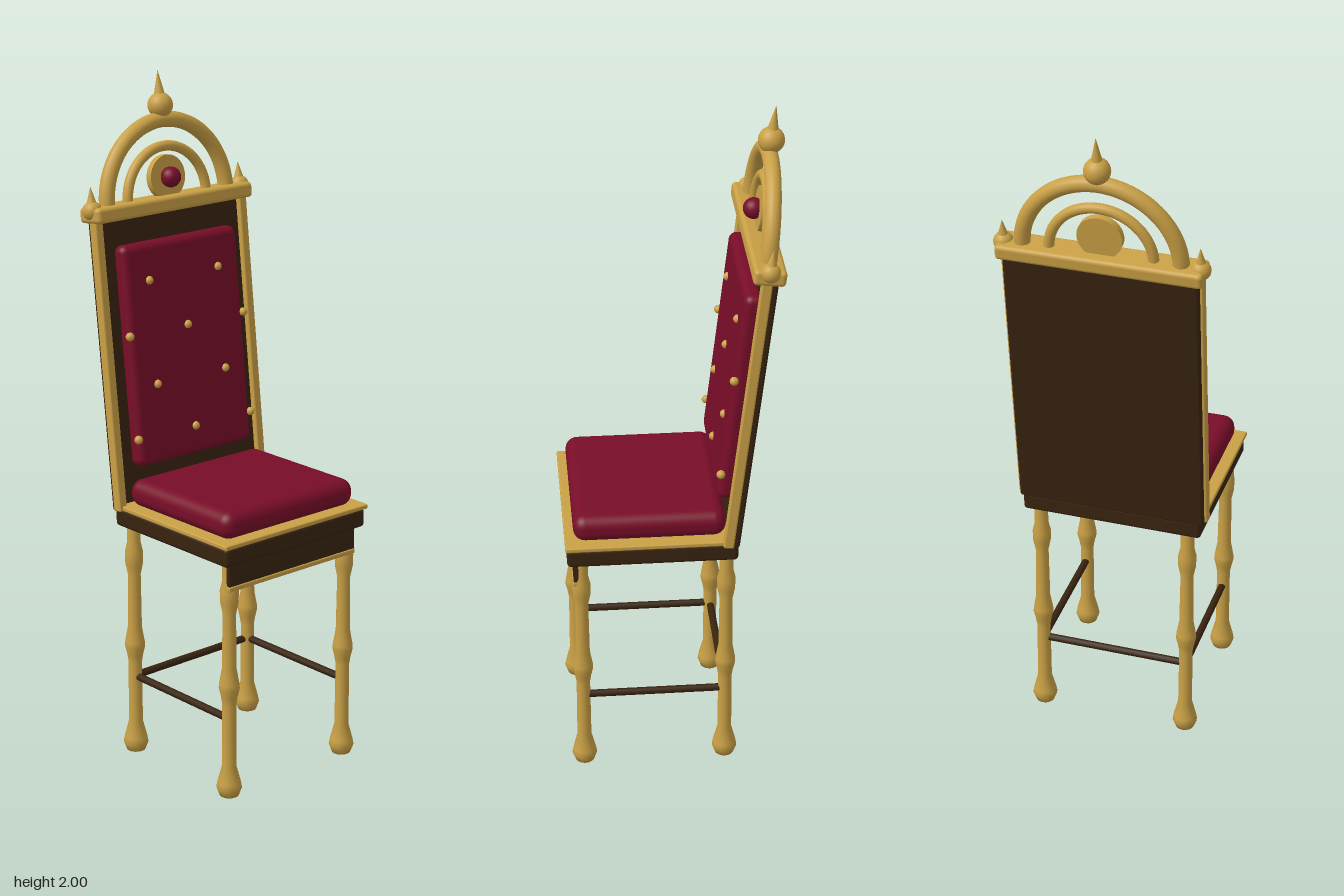
import * as THREE from 'three';
import { RoundedBoxGeometry } from 'three/addons/geometries/RoundedBoxGeometry.js';

export function createModel() {
  const mat = (name, color) => {
    const m = new THREE.MeshStandardMaterial({ color });
    m.name = name;
    return m;
  };
  const gold = mat('gold', 0xc9a045);
  const wood = mat('dark wood', 0x38230f);
  const velvet = mat('crimson velvet', 0x780d28);

  const chair = new THREE.Group();
  chair.name = 'chair';

  const add = (parent, name, geo, material, x = 0, y = 0, z = 0) => {
    const mesh = new THREE.Mesh(geo, material);
    mesh.name = name;
    mesh.position.set(x, y, z);
    parent.add(mesh);
    return mesh;
  };
  // Box given by its bounds, with optionally rounded edges
  const box = (parent, name, material, [x0, x1], [y0, y1], [z0, z1], r = 0) => {
    const size = [x1 - x0, y1 - y0, z1 - z0];
    const geo = r ? new RoundedBoxGeometry(...size, 4, r) : new THREE.BoxGeometry(...size);
    return add(parent, name, geo, material, (x0 + x1) / 2, (y0 + y1) / 2, (z0 + z1) / 2);
  };
  const ball = (parent, name, material, r, x, y, z) =>
    add(parent, name, new THREE.SphereGeometry(r, 24, 16), material, x, y, z);

  // Turned legs
  const legX = 0.223, frontZ = 0.27, backZ = -0.15;
  const legProfile = [
    [0, 0.004], [0.028, 0.004], [0.037, 0.028], [0.034, 0.045], [0.021, 0.095], [0.02, 0.285],
    [0.024, 0.31], [0.03, 0.335], [0.029, 0.35], [0.021, 0.395], [0.019, 0.56],
    [0.026, 0.595], [0.027, 0.63], [0.02, 0.66], [0.02, 0.72],
  ].map(([r, y]) => new THREE.Vector2(r, y));
  const legGeo = new THREE.LatheGeometry(legProfile, 16);
  for (const x of [-legX, legX]) {
    add(chair, 'frontLeg', legGeo, gold, x, 0, frontZ);
    add(chair, 'backLeg', legGeo, gold, x, 0, backZ);
    // Side stretcher
    const side = new THREE.CylinderGeometry(0.011, 0.011, frontZ - backZ, 12);
    add(chair, 'sideStretcher', side, wood, x, 0.24, (frontZ + backZ) / 2).rotation.x = Math.PI / 2;
  }
  const backBar = new THREE.CylinderGeometry(0.011, 0.011, 2 * legX, 12);
  add(chair, 'backStretcher', backBar, wood, 0, 0.24, backZ).rotation.z = Math.PI / 2;

  // Seat
  box(chair, 'seatBase', wood, [-0.268, 0.268], [0.715, 0.772], [-0.18, 0.31], 0.012);
  box(chair, 'seatTrim', gold, [-0.274, 0.274], [0.77, 0.784], [-0.175, 0.315], 0.004);
  box(chair, 'seatCushion', velvet, [-0.248, 0.248], [0.78, 0.86], [-0.147, 0.29], 0.035);
  box(chair, 'frontApron', wood, [-0.241, 0.241], [0.648, 0.718], [0.262, 0.292]);
  box(chair, 'apronTrim', gold, [-0.243, 0.243], [0.635, 0.65], [0.26, 0.295], 0.004);

  // Reclined backrest, built upright around its own foot
  const back = new THREE.Group();
  back.name = 'backrest';
  back.position.set(0, 0.775, -0.155);
  back.rotation.x = -0.112;
  chair.add(back);

  box(back, 'backPanel', wood, [-0.276, 0.276], [-0.01, 0.84], [-0.028, 0.004], 0.008);
  box(back, 'backCushion', velvet, [-0.216, 0.216], [0.112, 0.757], [-0.005, 0.047], 0.022);
  for (const s of [-1, 1]) {
    const post = [0.257, 0.285].map((v) => v * s).sort((a, b) => a - b);
    box(back, 'backPost', gold, post, [-0.008, 0.84], [-0.01, 0.02], 0.005);
  }
  box(back, 'topRail', gold, [-0.291, 0.291], [0.83, 0.875], [-0.045, 0.045], 0.012);

  // Upholstery buttons in staggered rows
  const rows = [
    [0.196, [-0.216, 0, 0.216]], [0.345, [-0.13, 0.13]],
    [0.498, [-0.216, 0, 0.216]], [0.648, [-0.13, 0.13]],
  ];
  for (const [y, xs] of rows)
    for (const x of xs) ball(back, 'button', gold, 0.0125, x, y, 0.046);

  // Crest arches
  for (const [name, radius, tube] of [['outerArch', 0.223, 0.023], ['innerArch', 0.147, 0.015]])
    add(back, name, new THREE.TorusGeometry(radius, tube, 16, 48, Math.PI), gold, 0, 0.868, 0);

  // Medallion and gem
  const disc = new THREE.CylinderGeometry(0.064, 0.064, 0.02, 40);
  add(back, 'medallion', disc, gold, 0, 0.926, 0).rotation.x = Math.PI / 2;
  ball(back, 'gem', velvet, 0.03, 0, 0.926, 0.022);

  // Finials: a ball under a spike
  const finial = (name, x, y, r, spikeR, tip) => {
    const g = new THREE.Group();
    g.name = name;
    back.add(g);
    ball(g, 'finialBall', gold, r, x, y, 0);
    const base = y + r * 0.8;
    add(g, 'finialSpike', new THREE.ConeGeometry(spikeR, tip - base, 16), gold, x, (tip + base) / 2, 0);
  };
  finial('topFinial', 0, 1.132, 0.037, 0.016, 1.233);
  for (const s of [-1, 1]) finial('cornerFinial', 0.277 * s, 0.866, 0.028, 0.014, 0.935);

  return chair;
}
